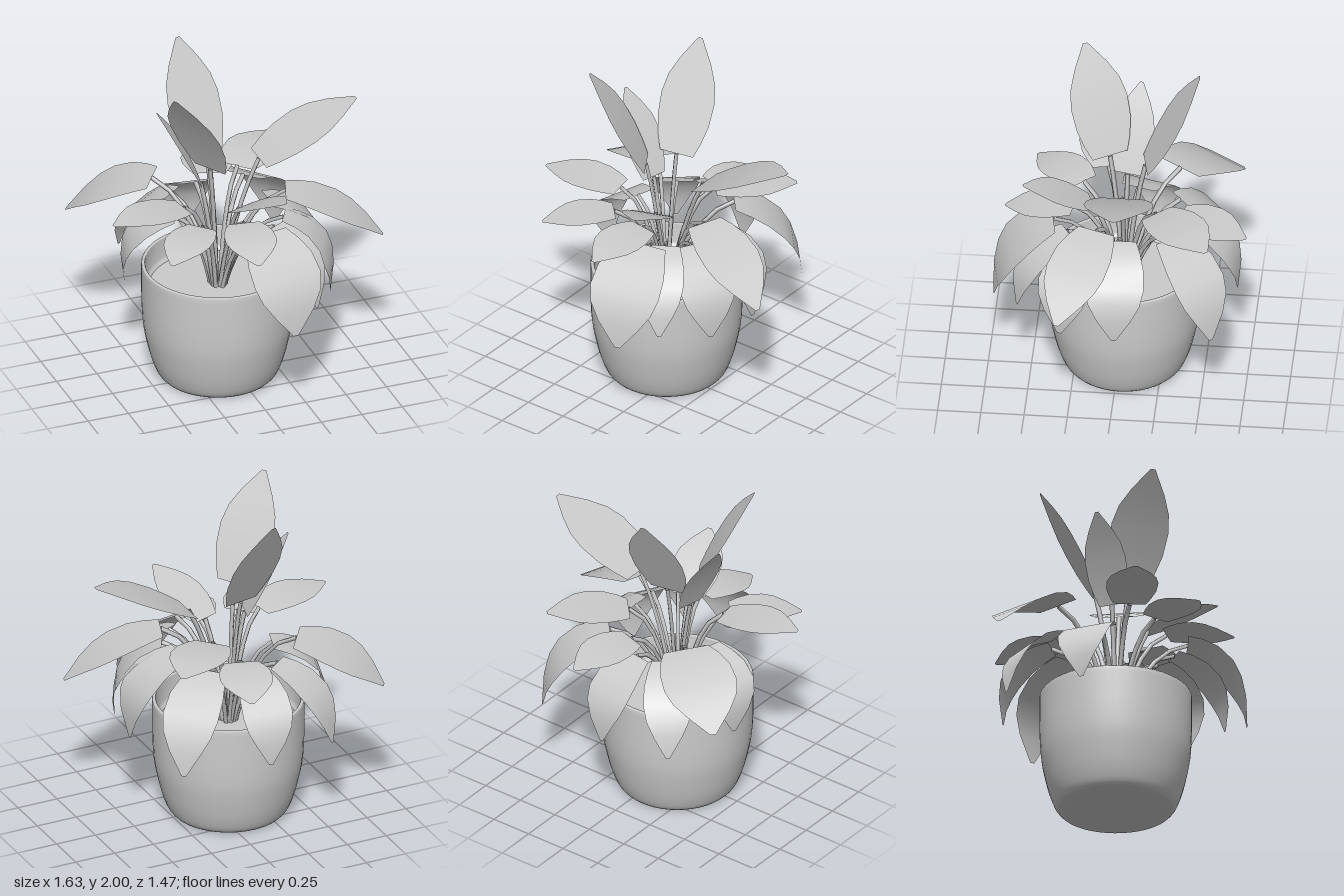
import * as THREE from 'three';

const material = new THREE.MeshStandardMaterial({ color: 0xcccccc, side: THREE.DoubleSide });
const CENTER = new THREE.Vector3(-0.09, 0.56, -0.03);
const UP = new THREE.Vector3(0, 1, 0);

// Blade outline: [position along the leaf, share of the full width]
const OUTLINE = [[0, 0.62], [0.12, 0.8], [0.28, 0.96], [0.48, 1], [0.64, 0.88], [0.8, 0.58], [1, 0.08]];

// Leaves: [blade base], [tip], width, bend (how far the middle arches out)
const LEAVES = {
  uprightLeaf: [
    [[-0.11, 1.39, -0.15], [-0.17, 2.0, -0.46], 0.34, 0],
    [[-0.17, 1.4, 0.06], [-0.45, 1.99, 0.23], 0.36, 0.02],
    [[0.17, 1.35, -0.04], [0.77, 1.63, -0.04], 0.4, 0.03],
    [[-0.19, 1.26, -0.04], [-0.44, 1.74, -0.1], 0.25, 0.02],
    [[-0.03, 1.16, 0.15], [0.11, 1.36, 0.54], 0.29, 0.02],
  ],
  spreadingLeaf: [
    [[-0.38, 1.18, -0.33], [-0.8, 0.91, -0.62], 0.44, 0.08],
    [[0.28, 1.19, 0.1], [0.81, 0.89, 0.29], 0.36, 0.07],
    [[-0.34, 1.19, 0.08], [-0.81, 1.21, 0.17], 0.3, 0.03],
    [[0.11, 1.21, -0.23], [0.46, 1.21, -0.55], 0.34, 0.03],
    [[-0.01, 1.12, -0.36], [0.11, 1.06, -0.75], 0.31, 0.03],
    [[-0.28, 1.12, 0.22], [-0.58, 1.08, 0.51], 0.28, 0.03],
    [[-0.04, 1.12, 0.26], [-0.1, 1.06, 0.66], 0.3, 0.03],
  ],
  droopingLeaf: [
    [[0.18, 1.09, -0.32], [0.47, 0.59, -0.58], 0.34, 0.16],
    [[-0.08, 1.05, -0.4], [-0.04, 0.6, -0.69], 0.3, 0.15],
    [[-0.25, 1.05, -0.34], [-0.47, 0.61, -0.62], 0.28, 0.14],
    [[-0.34, 1.05, -0.09], [-0.61, 0.62, -0.17], 0.32, 0.18],
    [[0.05, 1.09, 0.37], [0.11, 0.58, 0.71], 0.44, 0.14],
    [[0.14, 1.07, 0.28], [0.3, 0.65, 0.56], 0.26, 0.14],
    [[0.24, 1.06, 0.17], [0.48, 0.59, 0.3], 0.34, 0.15],
    [[0.22, 1.08, -0.02], [0.54, 0.6, -0.02], 0.34, 0.18],
  ],
};

// Flat blade: three points across for each step of the outline
function bladeGeometry(base, tip, side, width, bend) {
  const chord = tip.clone().sub(base);
  const out = side.clone().cross(chord).normalize();
  if (out.y < 0) out.negate();
  const ctrl = base.clone().lerp(tip, 0.5).addScaledVector(out, bend * 1.5);
  const spine = new THREE.QuadraticBezierCurve3(base, ctrl, tip);
  const positions = [], index = [];
  OUTLINE.forEach(([t, share], row) => {
    const p = spine.getPoint(t);
    for (const s of [-1, 0, 1]) {
      const v = p.clone().addScaledVector(side, s * share * width / 2);
      positions.push(v.x, v.y, v.z);
    }
    if (row === 0) return;
    for (const c of [0, 1]) {
      const a = (row - 1) * 3 + c, b = row * 3 + c;
      index.push(a, a + 1, b, b, a + 1, b + 1);
    }
  });
  const g = new THREE.BufferGeometry();
  g.setAttribute('position', new THREE.Float32BufferAttribute(positions, 3));
  g.setIndex(index);
  g.computeVertexNormals();
  return g;
}

function makeLeaf(name, [b, t, width, bend]) {
  const leaf = new THREE.Group();
  leaf.name = name;
  const base = new THREE.Vector3(...b), tip = new THREE.Vector3(...t);
  const away = tip.clone().sub(base).setY(0).normalize();
  const side = UP.clone().cross(away).normalize();

  const blade = new THREE.Mesh(bladeGeometry(base, tip, side, width, bend), material);
  blade.name = 'blade';

  // Stem rises from the soil and arches over for the lower leaves
  const reach = base.clone().sub(CENTER).setY(0);
  const root = CENTER.clone().addScaledVector(reach, 0.1);
  const rise = tip.y > base.y + 0.1 ? 0.62 : 0.9;
  const ctrl = CENTER.clone().addScaledVector(reach, 0.4);
  ctrl.y = THREE.MathUtils.lerp(root.y, base.y, rise);
  const path = new THREE.QuadraticBezierCurve3(root, ctrl, base);
  const stem = new THREE.Mesh(new THREE.TubeGeometry(path, 6, 0.014, 4), material);
  stem.name = 'stem';

  leaf.add(blade, stem);
  return leaf;
}

function makePot() {
  // Outer wall, rounded rim, inner wall and a small ledge above the soil
  const wall = new THREE.SplineCurve([
    [0.33, 0.008], [0.355, 0.04], [0.385, 0.12], [0.41, 0.22], [0.43, 0.33], [0.438, 0.45], [0.44, 0.58], [0.44, 0.715],
  ].map(([r, y]) => new THREE.Vector2(r, y))).getPoints(24);
  const pts = [
    new THREE.Vector2(0, 0), new THREE.Vector2(0.29, 0), ...wall,
    ...[[0.436, 0.722], [0.422, 0.722], [0.418, 0.716], [0.416, 0.6], [0.4, 0.59], [0.39, 0.57]]
      .map(([r, y]) => new THREE.Vector2(r, y)),
  ];
  const pot = new THREE.Mesh(new THREE.LatheGeometry(pts, 48), material);
  pot.name = 'pot';
  pot.position.set(CENTER.x, 0, CENTER.z);
  return pot;
}

export function createModel() {
  const model = new THREE.Group();
  model.name = 'pottedPlant';
  model.add(makePot());

  const soil = new THREE.Mesh(new THREE.CircleGeometry(0.4, 48).rotateX(-Math.PI / 2), material);
  soil.name = 'soil';
  soil.position.set(CENTER.x, 0.575, CENTER.z);
  model.add(soil);

  for (const [name, list] of Object.entries(LEAVES))
    for (const spec of list) model.add(makeLeaf(name, spec));
  return model;
}
